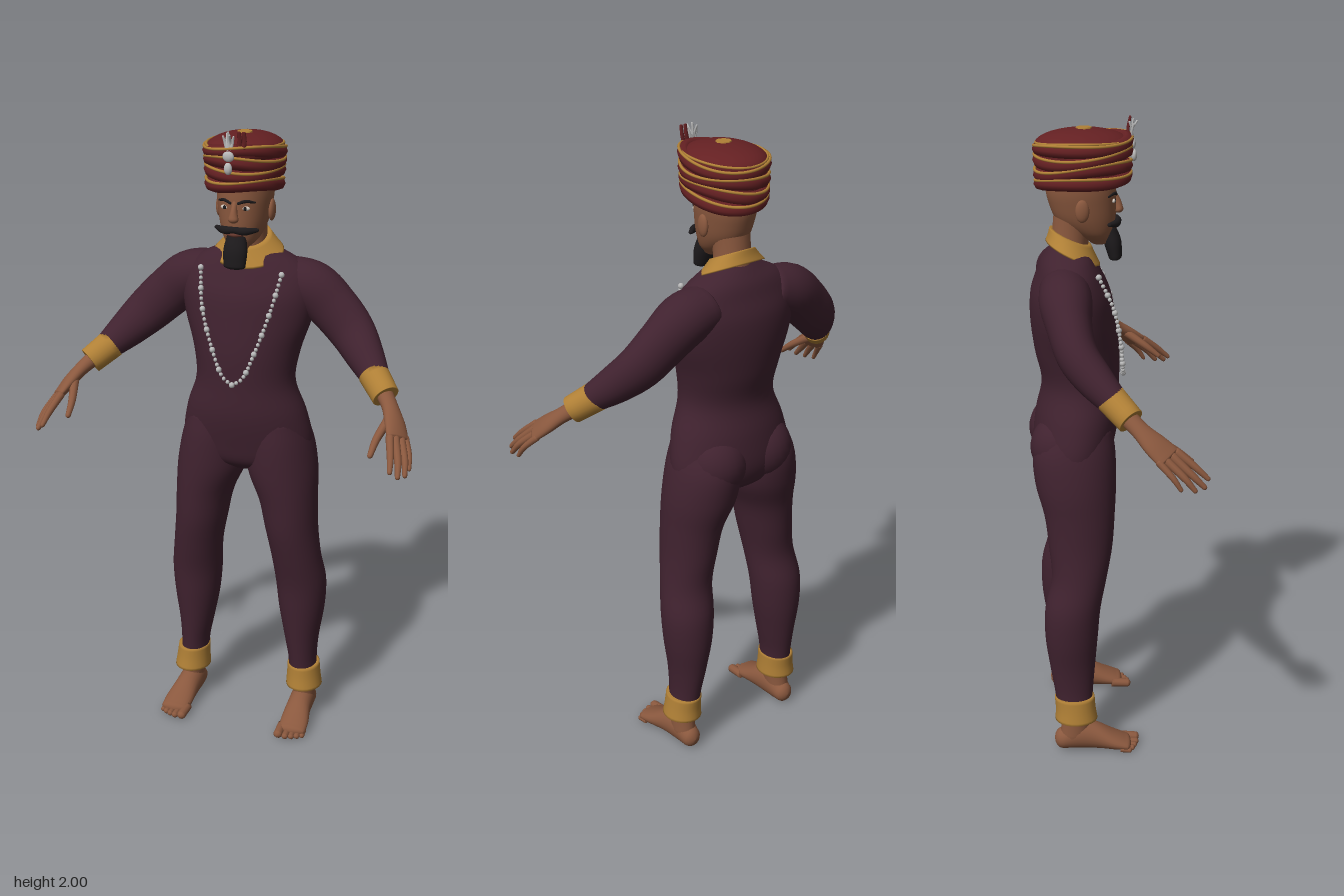
import * as THREE from 'three';

const mat = (name, color, side = THREE.FrontSide) => {
  const m = new THREE.MeshStandardMaterial({ color, side });
  m.name = name;
  return m;
};
const M = {
  suit: mat('plum cloth', 0x40222f),
  skin: mat('brown skin', 0x8a583e),
  gold: mat('gold trim', 0xb08036),
  red: mat('red turban cloth', 0x642022),
  black: mat('black hair', 0x1d1a1c),
  silver: mat('silver', 0xb9b9b9),
  white: mat('eye white', 0xcfc6bc),
  lip: mat('dark lip', 0x6b3b30),
};
const V = (x, y, z) => new THREE.Vector3(x, y, z);

// Smooth loft through stations [x, y, z, halfWidth, halfDepth].
// side: direction of halfWidth; dir: fixed ring normal, or null to follow the path; cap: roundness of the ends.
function limb(pts, { side = V(1, 0, 0), dir = null, cap = 0.8, segs = 24, steps = 5 } = {}) {
  const path = new THREE.CatmullRomCurve3(pts.map(p => V(p[0], p[1], p[2])), false, 'catmullrom');
  const size = new THREE.CatmullRomCurve3(pts.map(p => V(p[3], p[4], 0)), false, 'catmullrom');
  const n = (pts.length - 1) * steps, rings = [];
  const add = (t, off, k) => {
    const T = (dir ? dir.clone() : path.getTangent(t)).normalize();
    const S = side.clone().addScaledVector(T, -side.dot(T)).normalize();
    const N = T.clone().cross(S);
    const r = size.getPoint(t);
    const c = path.getPoint(t).addScaledVector(T, off * Math.min(r.x, r.y) * cap);
    rings.push({ c, S, N, a: r.x * k, b: r.y * k });
  };
  for (let i = 4; i > 0; i--) add(0, -Math.sin(i * Math.PI / 8), Math.max(Math.cos(i * Math.PI / 8), 0.001));
  for (let i = 0; i <= n; i++) add(i / n, 0, 1);
  for (let i = 1; i <= 4; i++) add(1, Math.sin(i * Math.PI / 8), Math.max(Math.cos(i * Math.PI / 8), 0.001));
  const pos = [], idx = [];
  rings.forEach(({ c, S, N, a, b }, i) => {
    for (let j = 0; j < segs; j++) {
      const th = j / segs * Math.PI * 2;
      const p = c.clone().addScaledVector(S, a * Math.cos(th)).addScaledVector(N, b * Math.sin(th));
      pos.push(p.x, p.y, p.z);
      if (i < rings.length - 1) {
        const k = (j + 1) % segs, A = i * segs, B = A + segs;
        idx.push(A + j, A + k, B + k, A + j, B + k, B + j);
      }
    }
  });
  const g = new THREE.BufferGeometry();
  g.setAttribute('position', new THREE.Float32BufferAttribute(pos, 3));
  g.setIndex(idx);
  g.computeVertexNormals();
  return g;
}

export function createModel() {
  const root = new THREE.Group();
  root.name = 'turbanedMan';
  const put = (name, geo, material) => {
    const m = new THREE.Mesh(geo, material);
    m.name = name;
    root.add(m);
    return m;
  };
  const ball = (name, material, [x, y, z], [a, b, c], w = 16, h = 12) => {
    const m = put(name, new THREE.SphereGeometry(1, w, h), material);
    m.position.set(x, y, z);
    m.scale.set(a, b, c);
    return m;
  };
  const up = V(0, 1, 0);

  // Torso
  put('torso', limb([
    [0, 0.9, -0.11, 0.08, 0.06], [0, 0.935, -0.112, 0.19, 0.105], [0, 1.0, -0.113, 0.213, 0.125],
    [0, 1.1, -0.1, 0.194, 0.13], [0, 1.2, -0.09, 0.16, 0.12], [0, 1.3, -0.1, 0.172, 0.13],
    [0, 1.4, -0.112, 0.203, 0.13], [0, 1.48, -0.118, 0.214, 0.122], [0, 1.54, -0.122, 0.2, 0.1],
    [0, 1.58, -0.125, 0.16, 0.083], [0, 1.61, -0.122, 0.1, 0.066], [0, 1.63, -0.12, 0.06, 0.05],
  ], { dir: up, cap: 0, segs: 48 }), M.suit);
  put('collar', limb([[0, 1.602, -0.11, 0.112, 0.09], [0, 1.625, -0.113, 0.09, 0.079], [0, 1.65, -0.117, 0.068, 0.069]],
    { dir: V(0, 1, 0.45), cap: 0, segs: 32 }), M.gold);
  put('neck', limb([[0, 1.57, -0.125, 0.06, 0.055], [0, 1.66, -0.115, 0.056, 0.057], [0, 1.74, -0.1, 0.06, 0.065]],
    { dir: up }), M.skin);

  // Head and face
  put('head', limb([
    [0, 1.635, -0.03, 0.028, 0.03], [0, 1.66, -0.05, 0.053, 0.06], [0, 1.7, -0.07, 0.07, 0.088],
    [0, 1.75, -0.08, 0.08, 0.1], [0, 1.8, -0.085, 0.085, 0.105], [0, 1.87, -0.085, 0.08, 0.1],
  ], { dir: up, cap: 0.4, segs: 32 }), M.skin);
  put('nose', limb([[0, 1.785, 0.01, 0.008, 0.008], [0, 1.755, 0.022, 0.01, 0.012], [0, 1.73, 0.028, 0.016, 0.014]]), M.skin);
  put('lips', limb([[-0.022, 1.683, 0.014, 0.006, 0.006], [0, 1.683, 0.02, 0.008, 0.008], [0.022, 1.683, 0.014, 0.006, 0.006]],
    { side: up }), M.lip);
  put('beard', limb([[0, 1.672, -0.002, 0.03, 0.022], [0, 1.63, 0.01, 0.037, 0.026], [0, 1.585, 0.018, 0.034, 0.02]],
    { cap: 0.5 }), M.black);

  for (const s of [1, -1]) {
    const n = s > 0 ? 'left' : 'right';
    const part = (name, pts, material, opt = {}) => {
      const side = (opt.side || V(1, 0, 0)).clone();
      side.x *= s;
      return put(n + name, limb(pts.map(([x, ...r]) => [x * s, ...r]), { ...opt, side }), material);
    };
    // Face details
    ball(n + 'Ear', M.skin, [s * 0.083, 1.742, -0.085], [0.011, 0.034, 0.021]);
    ball(n + 'Eye', M.white, [s * 0.032, 1.762, 0.01], [0.014, 0.007, 0.006]);
    ball(n + 'Pupil', M.black, [s * 0.032, 1.762, 0.0145], [0.0055, 0.006, 0.003]);
    part('Brow', [[0.012, 1.777, 0.02, 0.004, 0.004], [0.034, 1.784, 0.013, 0.005, 0.004], [0.056, 1.778, -0.006, 0.003, 0.003]],
      M.black, { side: up, segs: 8 });
    part('Moustache', [[0, 1.698, 0.026, 0.01, 0.01], [0.034, 1.695, 0.02, 0.012, 0.01], [0.064, 1.696, -0.004, 0.006, 0.007]],
      M.black, { side: up, segs: 12 });

    // Arm, cuff and hand
    const fwd = V(0, 0, 1);
    part('Sleeve', [
      [0.12, 1.52, -0.14, 0.075, 0.07], [0.2, 1.495, -0.14, 0.078, 0.082], [0.27, 1.44, -0.132, 0.066, 0.079],
      [0.335, 1.378, -0.112, 0.06, 0.073], [0.39, 1.322, -0.065, 0.054, 0.06], [0.445, 1.268, -0.008, 0.04, 0.042],
    ], M.suit, { side: fwd, cap: 0.2 });
    part('Cuff', [[0.428, 1.282, -0.024, 0.045, 0.047], [0.482, 1.234, 0.028, 0.041, 0.043]], M.gold, { side: fwd, cap: 0 });
    const across = V(0.48, -0.2, -0.85);
    part('Palm', [
      [0.46, 1.255, 0.005, 0.03, 0.028], [0.5, 1.215, 0.05, 0.027, 0.022], [0.527, 1.18, 0.09, 0.037, 0.02],
      [0.547, 1.148, 0.128, 0.042, 0.015],
    ], M.skin, { side: across, cap: 0.5 });
    [
      ['Index', [0.53, 1.155, 0.155], [0.546, 1.115, 0.205], [0.554, 1.083, 0.24], 0.0105],
      ['Middle', [0.543, 1.148, 0.14], [0.566, 1.1, 0.193], [0.575, 1.066, 0.228], 0.011],
      ['Ring', [0.556, 1.142, 0.121], [0.581, 1.098, 0.17], [0.59, 1.062, 0.2], 0.0105],
      ['Little', [0.565, 1.138, 0.102], [0.586, 1.1, 0.138], [0.593, 1.067, 0.16], 0.009],
      ['Thumb', [0.508, 1.185, 0.095], [0.49, 1.145, 0.155], [0.484, 1.11, 0.2], 0.012],
    ].forEach(([f, a, b, c, r]) => part(f + 'Finger',
      [[...a, r * 1.2, r * 1.2], [...b, r, r], [...c, r * 0.7, r * 0.7]], M.skin, { side: across, segs: 10, cap: 1 }));

    // Leg, seat and ankle cuff
    part('Leg', [
      [0.195, 0.16, -0.125, 0.046, 0.056], [0.192, 0.22, -0.127, 0.047, 0.062], [0.187, 0.3, -0.13, 0.058, 0.072],
      [0.185, 0.4, -0.132, 0.075, 0.083], [0.182, 0.5, -0.127, 0.083, 0.087], [0.17, 0.6, -0.106, 0.081, 0.086],
      [0.155, 0.7, -0.1, 0.085, 0.099], [0.142, 0.8, -0.102, 0.094, 0.109], [0.119, 0.9, -0.112, 0.113, 0.125],
      [0.108, 1.0, -0.115, 0.106, 0.126], [0.1, 1.08, -0.1, 0.085, 0.1],
    ], M.suit, { dir: up, cap: 0, segs: 32 });
    ball(n + 'Buttock', M.suit, [s * 0.088, 1.01, -0.15], [0.1, 0.105, 0.1], 24, 18);
    part('AnkleCuff', [[0.201, 0.112, -0.12, 0.06, 0.068], [0.199, 0.15, -0.122, 0.056, 0.064], [0.197, 0.19, -0.125, 0.053, 0.064]],
      M.gold, { dir: up, cap: 0 });

    // Bare foot
    part('Ankle', [[0.202, 0.05, -0.125, 0.036, 0.048], [0.2, 0.11, -0.12, 0.038, 0.047], [0.198, 0.17, -0.122, 0.042, 0.05]],
      M.skin, { dir: up });
    part('Foot', [
      [0.2, 0.037, -0.165, 0.032, 0.035], [0.2, 0.052, -0.12, 0.039, 0.051], [0.202, 0.046, -0.06, 0.041, 0.045],
      [0.207, 0.03, 0, 0.047, 0.029], [0.209, 0.02, 0.042, 0.046, 0.018],
    ], M.skin, { dir: V(0, 0, 1) });
    [[0.172, 0.074, 0.015], [0.196, 0.074, 0.011], [0.215, 0.068, 0.01], [0.232, 0.06, 0.01], [0.247, 0.05, 0.009]]
      .forEach(([x, z, r]) => part('Toe', [[x - 0.002, r * 1.3, 0.02, r, r], [x, r, z, r, r * 0.95]], M.skin, { segs: 10 }));

    // Bead strand
    const strand = new THREE.CatmullRomCurve3([[0.13, 1.555, -0.04], [0.11, 1.45, 0.006], [0.07, 1.325, 0.031],
      [0.03, 1.235, 0.04], [0, 1.215, 0.043]].map(([x, y, z]) => V(x * s, y, z)));
    strand.getSpacedPoints(24).forEach((p, i) => {
      const r = i % 4 ? 0.0065 : 0.0095;
      ball('necklaceBead', M.silver, p.toArray(), [r, r, r], 8, 6);
    });
  }

  // Turban: core, crown, rolled wraps and gold edging
  const cz = -0.078;
  put('turbanCore', limb([[0, 1.81, cz, 0.1, 0.125], [0, 1.93, cz, 0.108, 0.135]], { dir: V(0, 1, -0.1), cap: 0, segs: 40 }), M.red);
  ball('turbanCrown', M.red, [0, 1.925, cz], [0.116, 0.047, 0.143], 40, 20);
  const hoop = (name, material, y, rx, rz, r, tilt, phase, slope = -0.012) => {
    const pts = [];
    for (let i = 0; i < 32; i++) {
      const a = i / 32 * Math.PI * 2;
      pts.push(V(rx * Math.cos(a), y + tilt * Math.sin(2 * a + phase) - slope * Math.sin(a), cz + rz * Math.sin(a)));
    }
    put(name, new THREE.TubeGeometry(new THREE.CatmullRomCurve3(pts, true), 80, r, 8, true), material);
  };
  for (let i = 0; i < 4; i++) {
    const y = 1.823 + i * 0.033, rx = 0.098 + i * 0.002;
    hoop('turbanWrap', M.red, y, rx, 0.127 + i * 0.001, 0.02, 0.006, i * 1.9);
    hoop('turbanGoldEdge', M.gold, y + 0.013, rx + 0.015, 0.142 + i * 0.001, 0.0045, 0.007, i * 1.9 + 0.6);
  }
  hoop('crownGoldEdge', M.gold, 1.938, 0.112, 0.139, 0.004, 0.004, 1, -0.004);
  const patch = put('crownPatch', new THREE.CylinderGeometry(0.023, 0.025, 0.006, 8), M.gold);
  patch.position.set(0, 1.9715, cz + 0.003);

  // Turban ornament with plume
  ball('ornamentGem', M.silver, [0, 1.89, 0.073], [0.013, 0.018, 0.009], 10, 8);
  ball('ornamentDrop', M.silver, [0, 1.925, 0.07], [0.018, 0.016, 0.008], 10, 8);
  for (let i = -2; i <= 2; i++) {
    put('plumeStrand', limb([[0, 1.92, 0.068, 0.004, 0.004], [i * 0.005, 1.96, 0.066, 0.005, 0.003],
      [i * 0.008, 1.995 - Math.abs(i) * 0.006, 0.07 + (i % 2) * 0.012, 0.003, 0.003]], { segs: 8 }), M.silver);
  }
  for (const x of [0.03, 0.045]) {
    put('plumeFeather', limb([[x - 0.01, 1.93, 0.056, 0.007, 0.004], [x, 1.965, 0.058, 0.007, 0.004], [x, 1.996, 0.064, 0.006, 0.003]],
      { segs: 8 }), M.red);
  }
  return root;
}
